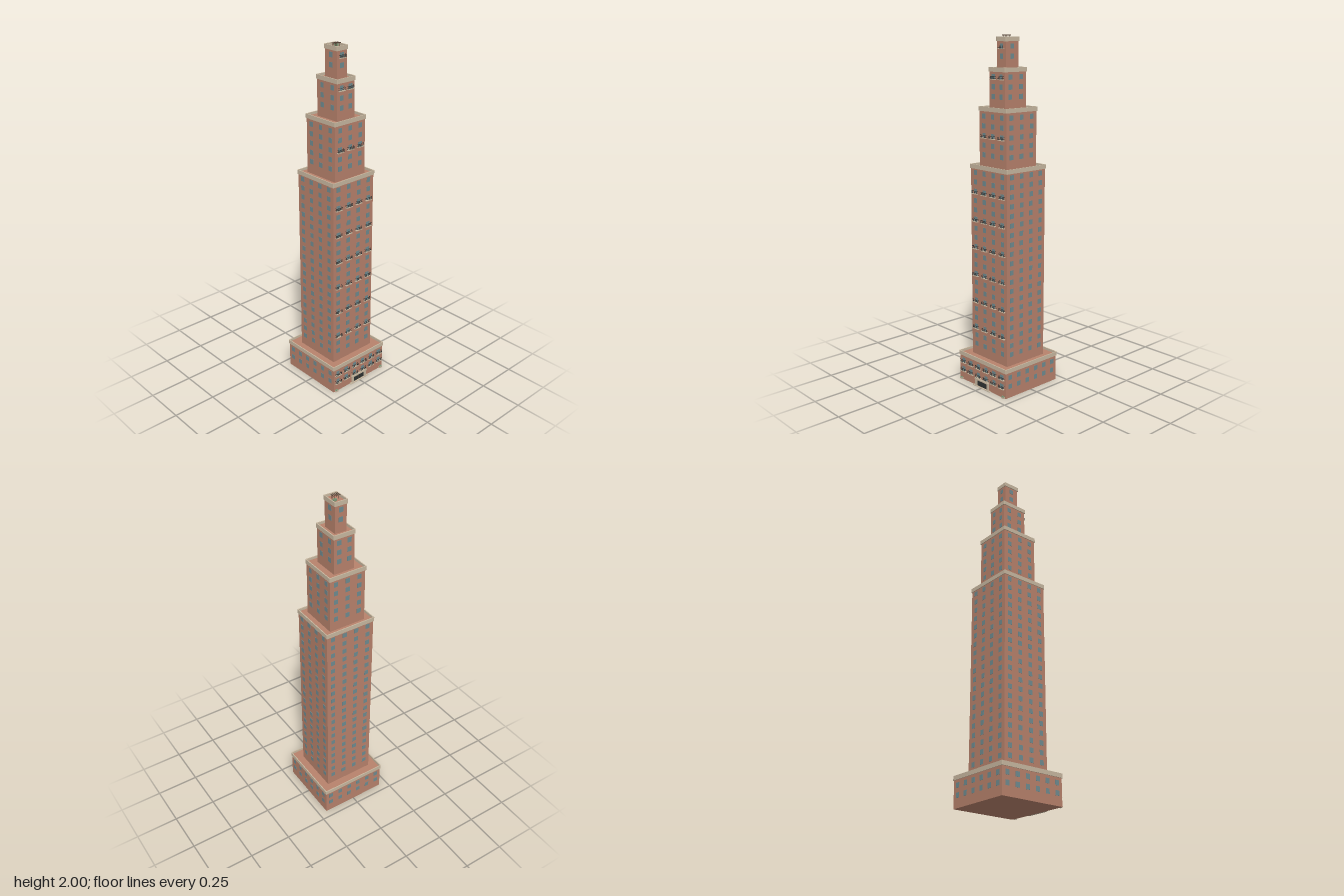
import * as THREE from 'three';
import { mergeGeometries } from 'three/addons/utils/BufferGeometryUtils.js';

const mat = (color) => new THREE.MeshStandardMaterial({ color });
const brick = mat(0xb8826c), stone = mat(0xc8b8a0), glass = mat(0x6f8b90);
const iron = mat(0x2e3232), wood = mat(0x5a4638), green = mat(0x7f9a78);

const CZ = -0.005; // tower axis in z
const FLOOR = 0.0536;

// Half width, half depth, bottom, top, window columns, first window row, rows, rows with balconies
const tiers = [
  { name: 'base', w: 0.2, d: 0.2, y0: 0, y1: 0.175, cols: 6, row0: 0.068, rows: 2, balconies: [0, 1] },
  { name: 'mainShaft', w: 0.15, d: 0.144, y0: 0.16, y1: 1.292, cols: 4, row0: 0.228, rows: 20, balconies: [2, 5, 8, 11, 14, 17] },
  { name: 'upperShaft', w: 0.11, d: 0.113, y0: 1.275, y1: 1.614, cols: 3, row0: 1.348, rows: 5, balconies: [2] },
  { name: 'crown', w: 0.0625, d: 0.079, y0: 1.6, y1: 1.828, cols: 2, row0: 1.67, rows: 3, balconies: [2] },
  { name: 'topBlock', w: 0.035, d: 0.047, y0: 1.81, y1: 1.99, cols: 1, row0: 1.887, rows: 2, balconies: [1] },
];

function box(w, h, d, x, y, z) {
  return new THREE.BoxGeometry(w, h, d).translate(x, y, z);
}

function add(group, name, geos, material) {
  const mesh = new THREE.Mesh(Array.isArray(geos) ? mergeGeometries(geos) : geos, material);
  mesh.name = name;
  group.add(mesh);
}

// Rectangle with small rounded corners, for shapes and holes
function roundedRect(path, w, d, r) {
  path.moveTo(w, -d + r);
  path.absarc(w - r, d - r, r, 0, Math.PI / 2);
  path.absarc(-w + r, d - r, r, Math.PI / 2, Math.PI);
  path.absarc(-w + r, -d + r, r, Math.PI, Math.PI * 1.5);
  path.absarc(w - r, -d + r, r, Math.PI * 1.5, Math.PI * 2);
  return path;
}

// Ring that caps the walls of one tier
function parapet(w, d, bottom, height) {
  const shape = roundedRect(new THREE.Shape(), w + 0.0045, d + 0.0045, 0.003);
  shape.holes.push(roundedRect(new THREE.Path(), w - 0.001, d - 0.001, 0.004));
  return new THREE.ExtrudeGeometry(shape, { depth: height, bevelEnabled: false, curveSegments: 3 })
    .rotateX(-Math.PI / 2).translate(0, bottom, CZ);
}

const column = (t, i, half) => (i + 0.5 - t.cols / 2) * (2 * half / t.cols);

function tier(t) {
  const g = new THREE.Group();
  g.name = t.name;
  const roof = t.y1 - 0.014;
  add(g, 'walls', box(2 * t.w, roof - t.y0, 2 * t.d, 0, (roof + t.y0) / 2, CZ), brick);
  add(g, 'parapet', parapet(t.w, t.d, t.y1 - 0.024, 0.024), stone);

  // Windows on all four sides
  const panes = [], slabs = [], rails = [];
  for (let r = 0; r < t.rows; r++) {
    const y = t.row0 + r * FLOOR;
    for (let c = 0; c < t.cols; c++) {
      const x = column(t, c, t.w), z = column(t, c, t.d) + CZ;
      for (const s of [-1, 1]) {
        panes.push(box(0.026, 0.028, 0.002, x, y, CZ + s * t.d));
        panes.push(box(0.002, 0.028, 0.026, s * t.w, y, z));
      }
      // Balconies on the front only
      if (t.balconies.includes(r)) {
        const front = CZ + t.d;
        slabs.push(box(0.045, 0.004, 0.011, x, y - 0.014, front + 0.0055));
        for (const h of [-0.007, 0.003]) {
          rails.push(box(0.044, 0.0016, 0.0014, x, y + h, front + 0.0098));
          for (const s of [-1, 1]) rails.push(box(0.0014, 0.0016, 0.01, x + s * 0.0213, y + h, front + 0.005));
        }
        for (let k = 0; k < 7; k++)
          rails.push(box(0.001, 0.016, 0.001, x + (k - 3) * 0.0071, y - 0.005, front + 0.0098));
      }
    }
  }
  add(g, 'windows', panes, glass);
  add(g, 'balconySlabs', slabs, stone);
  add(g, 'balconyRails', rails, iron);
  return g;
}

// Portal with double doors at street level
function entrance() {
  const g = new THREE.Group();
  g.name = 'entrance';
  const z = CZ + 0.2;
  add(g, 'portal', [
    box(0.12, 0.008, 0.011, 0, 0.045, z + 0.0055),
    ...[-1, 1].map((s) => box(0.015, 0.041, 0.007, s * 0.05, 0.0205, z + 0.0035)),
  ], stone);
  add(g, 'doorStep', box(0.146, 0.004, 0.012, 0, 0.002, z + 0.006), stone);
  add(g, 'doorFrame', box(0.085, 0.038, 0.003, 0, 0.022, z + 0.0015), wood);
  add(g, 'doorPanes', [-1, 1].map((s) => box(0.036, 0.028, 0.002, s * 0.02, 0.02, z + 0.003)), iron);
  // Corner planters
  for (const s of [-1, 1]) {
    add(g, 'planter', box(0.02, 0.009, 0.01, s * 0.182, 0.0045, z + 0.005), stone);
    add(g, 'plant', box(0.016, 0.005, 0.007, s * 0.182, 0.0115, z + 0.005), green);
  }
  return g;
}

// Pergola and planter box on the highest roof
function roofTerrace() {
  const g = new THREE.Group();
  g.name = 'roofTerrace';
  const slats = [], posts = [];
  for (let i = 0; i < 5; i++) slats.push(box(0.002, 0.003, 0.03, -0.022 + i * 0.009, 1.9985, 0.003));
  for (const x of [-0.018, 0.01])
    for (const z of [-0.007, 0.013]) posts.push(box(0.002, 0.024, 0.002, x, 1.986, z));
  add(g, 'pergolaSlats', slats, wood);
  add(g, 'pergolaPosts', posts, wood);
  add(g, 'planterBox', box(0.02, 0.012, 0.012, 0.014, 1.982, -0.017), green);
  return g;
}

export function createModel() {
  const model = new THREE.Group();
  model.name = 'tower';
  for (const t of tiers) model.add(tier(t));
  model.add(entrance(), roofTerrace());
  return model;
}
